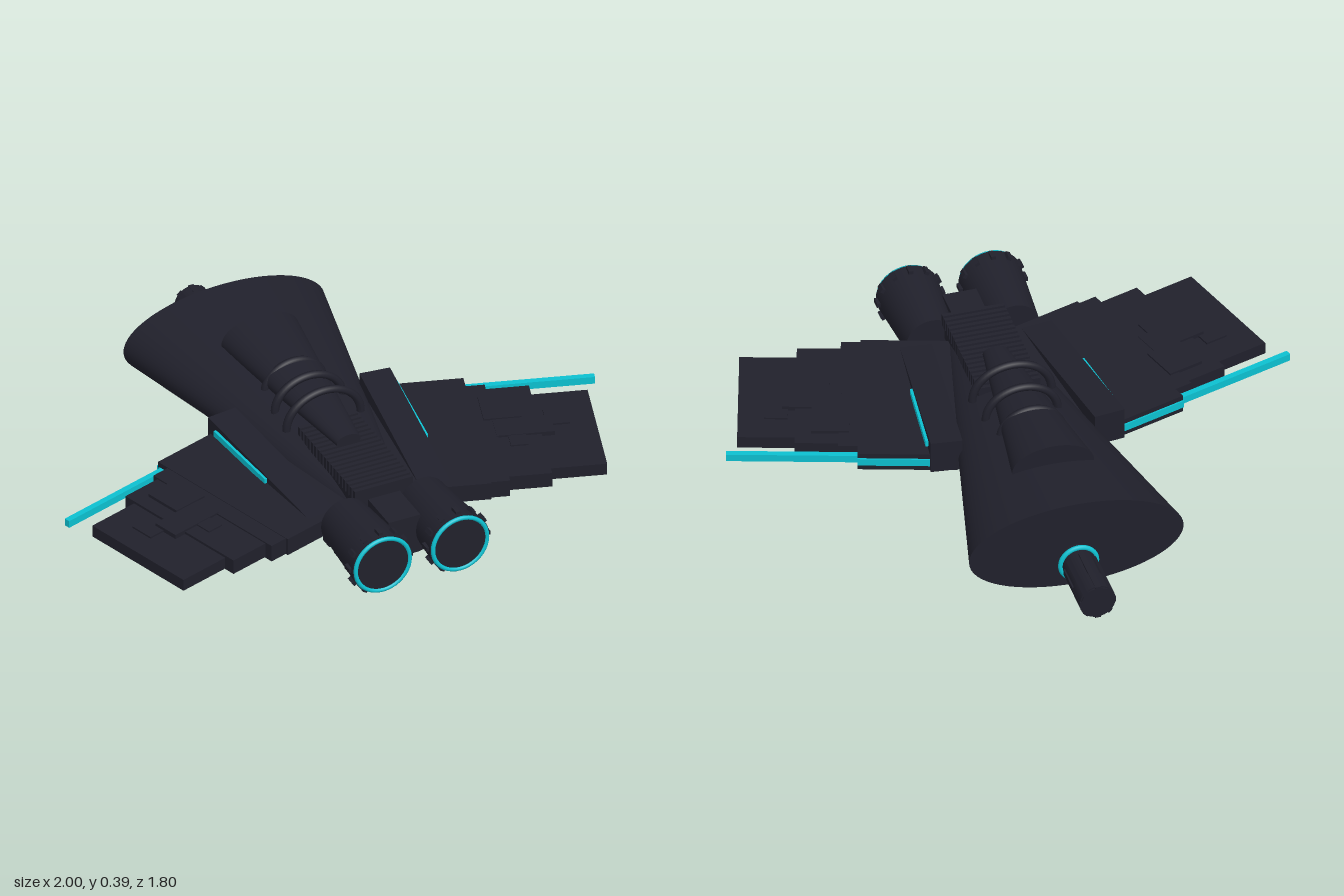
import * as THREE from 'three';

const hull = new THREE.MeshStandardMaterial({ color: 0x20202b });
hull.name = 'dark hull';
const glow = new THREE.MeshStandardMaterial({ color: 0x0cc0d0 });
glow.name = 'cyan glow';

function add(parent, name, geometry, material, x = 0, y = 0, z = 0) {
  const mesh = new THREE.Mesh(geometry, material);
  mesh.name = name;
  mesh.position.set(x, y, z);
  parent.add(mesh);
  return mesh;
}

// Box given by its limits on each axis
function slab(parent, name, material, [x0, x1], [y0, y1], [z0, z1]) {
  return add(parent, name, new THREE.BoxGeometry(x1 - x0, y1 - y0, z1 - z0), material,
    (x0 + x1) / 2, (y0 + y1) / 2, (z0 + z1) / 2);
}

// Cone frustum lying along z, squashed in y
function frustum(rFront, rBack, length, squash = 1, sides = 64) {
  return new THREE.CylinderGeometry(rFront, rBack, length, sides).rotateX(Math.PI / 2).scale(1, squash, 1);
}

function buildBody(model) {
  add(model, 'fuselage', frustum(0.094, 0.38, 1.24, 0.44), hull, 0, 0.171, -0.02);

  // Canopy, sheared so its axis drops toward the front
  const canopy = frustum(0.045, 0.145, 0.69, 0.58);
  const p = canopy.attributes.position;
  for (let i = 0; i < p.count; i++) p.setY(i, p.getY(i) - 0.022 * p.getZ(i));
  canopy.computeVertexNormals();
  add(model, 'canopy', canopy, hull, 0, 0.292, -0.017);

  // Arched bands over the canopy
  for (const [z, rx, top] of [[-0.1, 0.12, 0.365], [0.015, 0.137, 0.375], [0.132, 0.15, 0.386]]) {
    const arch = new THREE.TorusGeometry(rx - 0.01, 0.015, 8, 32, Math.PI);
    arch.scale(1, (top - 0.25) / (rx + 0.005), 1);
    add(model, 'canopyBand', arch, hull, 0, 0.25, z);
  }

  // Spine ribs
  for (let i = 0; i < 18; i++) {
    slab(model, 'spineRib', hull, [-0.11, 0.11], [0.23, 0.274], [0.585 - i * 0.025, 0.6 - i * 0.025]);
  }
  slab(model, 'spineBed', hull, [-0.1, 0.1], [0.17, 0.235], [0.2, 0.6]);

  // Keel and its crossbars
  slab(model, 'keel', hull, [-0.12, 0.12], [0.015, 0.078], [-0.44, 0.67]);
  for (let i = 0; i < 8; i++) {
    const z = 0.56 - i * 0.086;
    slab(model, 'keelCrossbar', hull, [-0.157, 0.157], [0, 0.03], [z - 0.024, z + 0.024]);
  }
  slab(model, 'engineBridge', hull, [-0.06, 0.06], [0.08, 0.23], [0.55, 0.76]);
}

function buildTail(model) {
  const tail = new THREE.Group();
  tail.name = 'tailGun';
  tail.position.set(0, 0.11, 0);
  model.add(tail);
  add(tail, 'tailBarrel', frustum(0.059, 0.059, 0.27, 1, 32), hull, 0, 0, -0.765);
  add(tail, 'tailSleeve', frustum(0.064, 0.064, 0.08, 1, 32), hull, 0, 0, -0.855);
  for (let i = 0; i < 8; i++) {
    const a = (i / 8) * Math.PI * 2;
    const fin = add(tail, 'tailFin', new THREE.BoxGeometry(0.012, 0.02, 0.2), hull,
      Math.cos(a) * 0.058, Math.sin(a) * 0.058, -0.8);
    fin.rotation.z = a;
  }
  add(tail, 'tailRing', new THREE.TorusGeometry(0.064, 0.009, 10, 40), glow, 0, 0, -0.668);
}

function buildEngine(model, s) {
  const engine = new THREE.Group();
  engine.name = s > 0 ? 'leftEngine' : 'rightEngine';
  engine.position.set(s * 0.146, 0.166, 0);
  model.add(engine);
  add(engine, 'engineNacelle', frustum(0.112, 0.09, 0.29, 1, 40), hull, 0, 0, 0.742);
  add(engine, 'nozzleDisc', frustum(0.098, 0.098, 0.012, 1, 40), hull, 0, 0, 0.887);
  add(engine, 'nozzleRing', new THREE.TorusGeometry(0.102, 0.008, 8, 40), glow, 0, 0, 0.891);
  for (let i = 0; i < 12; i++) {
    const a = (i / 12) * Math.PI * 2;
    const bolt = add(engine, 'nozzleBolt', new THREE.BoxGeometry(0.022, 0.016, 0.035), hull,
      Math.cos(a) * 0.11, Math.sin(a) * 0.11, 0.86);
    bolt.rotation.z = a;
  }
}

function buildWing(model, s) {
  const wing = new THREE.Group();
  wing.name = s > 0 ? 'leftWing' : 'rightWing';
  wing.rotation.y = -s * 0.304;
  model.add(wing);
  const part = (name, mat, [u0, u1], y, v) =>
    slab(wing, name, mat, s > 0 ? [u0, u1] : [-u1, -u0], y, v);

  // Stepped panels from root to tip
  part('innerPanel', hull, [0.22, 0.56], [0.125, 0.19], [-0.142, 0.5]);
  part('innerPanelEdge', hull, [0.56, 0.626], [0.125, 0.188], [-0.095, 0.49]);
  part('middlePanel', hull, [0.626, 0.775], [0.128, 0.183], [-0.075, 0.459]);
  part('outerPanel', hull, [0.775, 0.97], [0.13, 0.174], [-0.033, 0.418]);

  // Raised surface plates
  part('surfacePlate', hull, [0.59, 0.72], [0.18, 0.194], [-0.02, 0.12]);
  part('surfacePlate', hull, [0.62, 0.82], [0.17, 0.19], [0.12, 0.22]);
  part('surfacePlate', hull, [0.8, 0.88], [0.17, 0.18], [0.07, 0.16]);
  part('surfacePlate', hull, [0.66, 0.72], [0.18, 0.188], [0.22, 0.28]);

  part('leadingEdgeBar', glow, [0.3, 1.007], [0.145, 0.172], [-0.13, -0.108]);
  part('leadingEdgeStrip', glow, [0.3, 0.56], [0.145, 0.172], [-0.148, -0.13]);

  // Wedge-shaped root block, lower toward the front
  const root = new THREE.BoxGeometry(0.11, 0.12, 0.65);
  const p = root.attributes.position;
  for (let i = 0; i < p.count; i++) if (p.getY(i) > 0 && p.getZ(i) > 0) p.setY(i, 0.0);
  root.computeVertexNormals();
  const rootMesh = add(model, 'wingRoot', root, hull, s * 0.25, 0.188, 0.258);
  rootMesh.rotation.y = -s * 0.12;

  // Glowing strip beside the root block
  const strip = add(model, 'rootStrip', new THREE.BoxGeometry(0.01, 0.022, 0.32), glow, s * 0.323, 0.205, 0.15);
  strip.rotation.set(0.05, -s * 0.12, 0);
}

export function createModel() {
  const model = new THREE.Group();
  model.name = 'spaceship';
  buildBody(model);
  buildTail(model);
  for (const s of [1, -1]) {
    buildEngine(model, s);
    buildWing(model, s);
  }
  return model;
}
